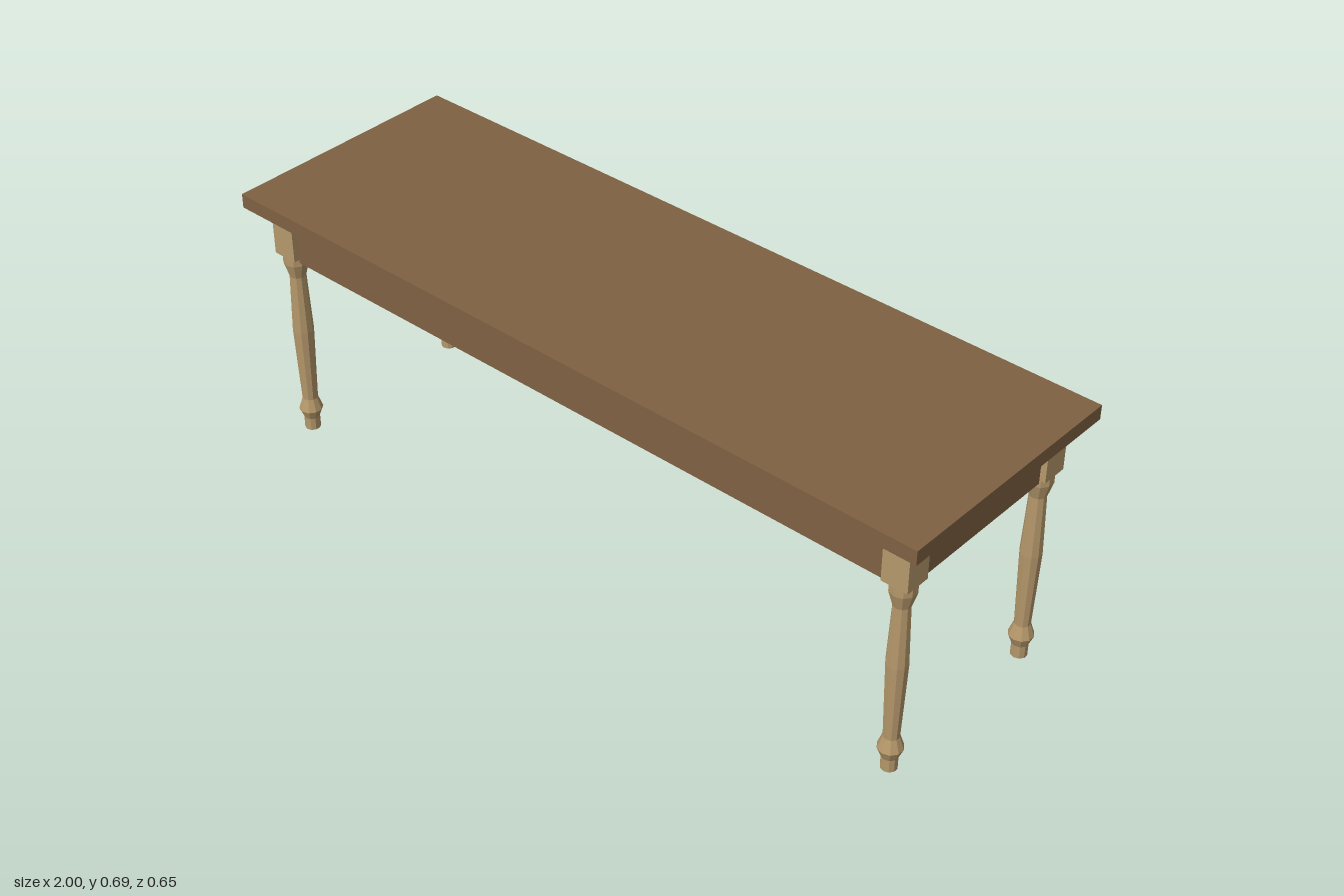
import * as THREE from 'three';

export function createModel() {
  const table = new THREE.Group();
  table.name = 'table';

  const darkWood = new THREE.MeshStandardMaterial({ color: 0x7f6142, flatShading: true });
  darkWood.name = 'dark wood';
  const lightWood = new THREE.MeshStandardMaterial({ color: 0xb5986b, flatShading: true });
  lightWood.name = 'light wood';

  const legX = 0.92, legZ = 0.243, blockSize = 0.068;
  const topBottom = 0.655, blockBottom = 0.525, apronBottom = 0.517;

  function box(name, material, w, y0, y1, d, x, z, parent = table) {
    const mesh = new THREE.Mesh(new THREE.BoxGeometry(w, y1 - y0, d), material);
    mesh.name = name;
    mesh.position.set(x, (y0 + y1) / 2, z);
    parent.add(mesh);
  }

  // Tabletop
  box('tabletop', darkWood, 2, topBottom, 0.692, 0.647, 0, 0);

  // Aprons between the leg blocks, slightly set back from their outer faces
  const thickness = 0.022, inset = 0.008;
  for (const s of [-1, 1]) {
    box('longApron', darkWood, 2 * legX - blockSize, apronBottom, topBottom, thickness, 0, s * (legZ + inset));
    box('endApron', darkWood, thickness, apronBottom, topBottom, 2 * legZ - blockSize, s * (legX + inset), 0);
  }

  // Turned legs, each with a square block on top
  const profile = [
    [0, 0], [0.02, 0], [0.02, 0.034], [0.0305, 0.06], [0.0195, 0.093],
    [0.0262, 0.3], [0.0205, 0.46], [0.032, 0.5], [0.032, blockBottom],
  ].map(([r, y]) => new THREE.Vector2(r, y));
  const turnedGeometry = new THREE.LatheGeometry(profile, 10);

  for (const sx of [-1, 1]) {
    for (const sz of [-1, 1]) {
      const leg = new THREE.Group();
      leg.name = `${sz > 0 ? 'front' : 'back'}${sx > 0 ? 'Left' : 'Right'}Leg`;
      leg.position.set(sx * legX, 0, sz * legZ);
      const turned = new THREE.Mesh(turnedGeometry, lightWood);
      turned.name = 'turnedPost';
      leg.add(turned);
      box('legBlock', lightWood, blockSize, blockBottom, topBottom, blockSize, 0, 0, leg);
      table.add(leg);
    }
  }
  return table;
}
